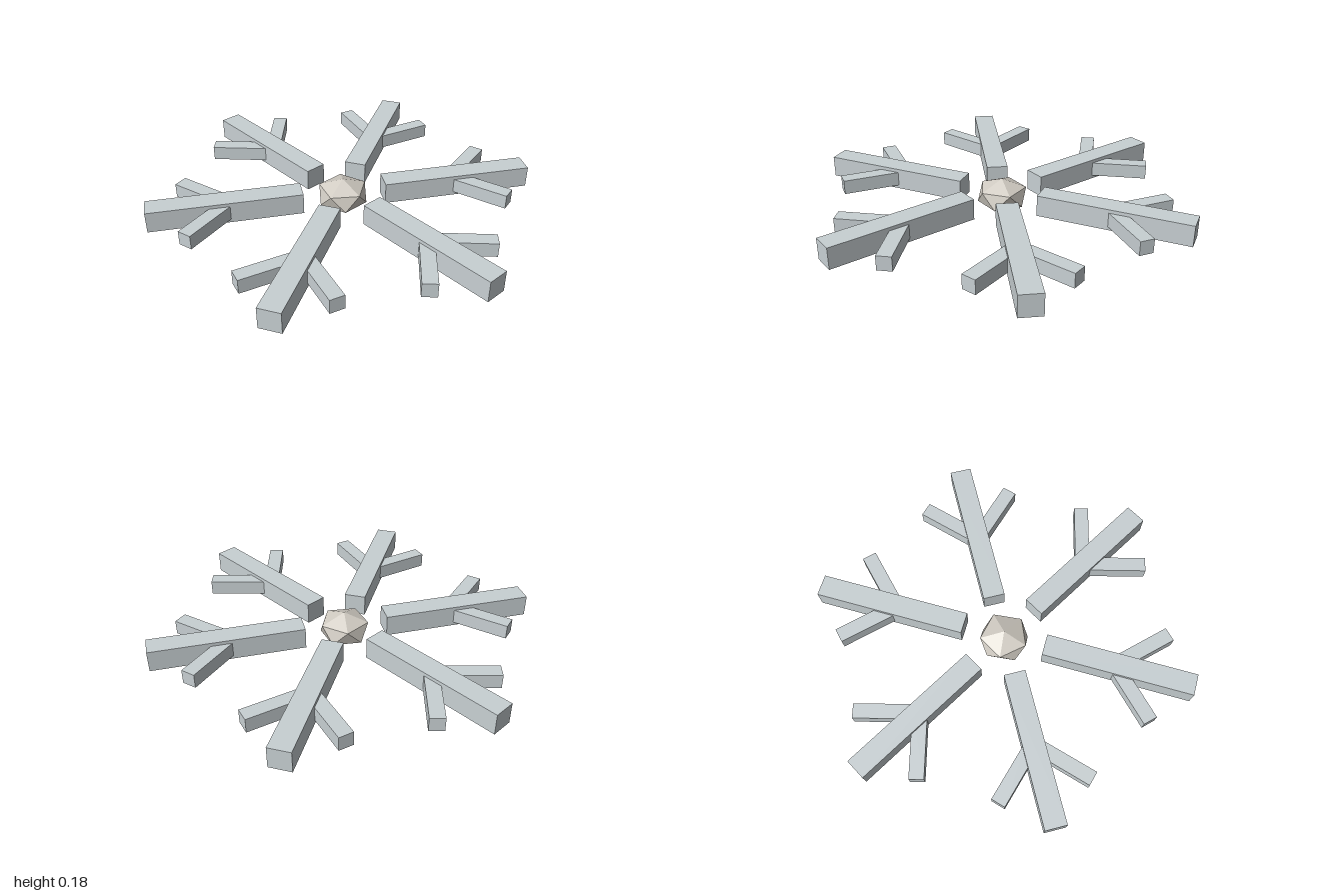
import * as THREE from 'three';
import { ConvexGeometry } from 'three/addons/geometries/ConvexGeometry.js';

const MID = 0.088; // height of the centre plane

const armMaterial = new THREE.MeshStandardMaterial({ color: 0xc8d0d3, flatShading: true });
const coreMaterial = new THREE.MeshStandardMaterial({ color: 0xd2cdc4, flatShading: true });

// Flattened icosahedron standing on one of its vertices
function createCore() {
  const radius = 0.125, half = 0.088, ring = half / Math.sqrt(5);
  const points = [new THREE.Vector3(0, half, 0), new THREE.Vector3(0, -half, 0)];
  for (let i = 0; i < 10; i++) {
    const a = (i * Math.PI) / 5;
    points.push(new THREE.Vector3(radius * Math.cos(a), i % 2 ? -ring : ring, radius * Math.sin(a)));
  }
  const core = new THREE.Mesh(new ConvexGeometry(points), coreMaterial);
  core.name = 'core';
  return core;
}

// Square bar along +x from start to end
function bar(name, start, end, size) {
  const geometry = new THREE.BoxGeometry(end - start, size, size);
  geometry.translate((start + end) / 2, 0, 0);
  const mesh = new THREE.Mesh(geometry, armMaterial);
  mesh.name = name;
  return mesh;
}

// One arm with a mirrored pair of side branches
function createArm() {
  const arm = new THREE.Group();
  arm.name = 'arm';
  arm.add(bar('armBar', 0.215, 1, 0.112));
  for (const side of [-1, 1]) {
    const branch = bar('branch', 0, 0.335, 0.075);
    branch.position.x = 0.583;
    branch.rotation.y = (side * Math.PI) / 4;
    arm.add(branch);
  }
  return arm;
}

export function createModel() {
  const model = new THREE.Group();
  model.name = 'snowflake';

  const flake = new THREE.Group();
  flake.name = 'flake';
  flake.position.y = MID;
  flake.add(createCore());

  // Six arms around the core
  for (let i = 0; i < 6; i++) {
    const arm = createArm();
    arm.rotation.y = (i * Math.PI) / 3;
    flake.add(arm);
  }
  model.add(flake);
  return model;
}
